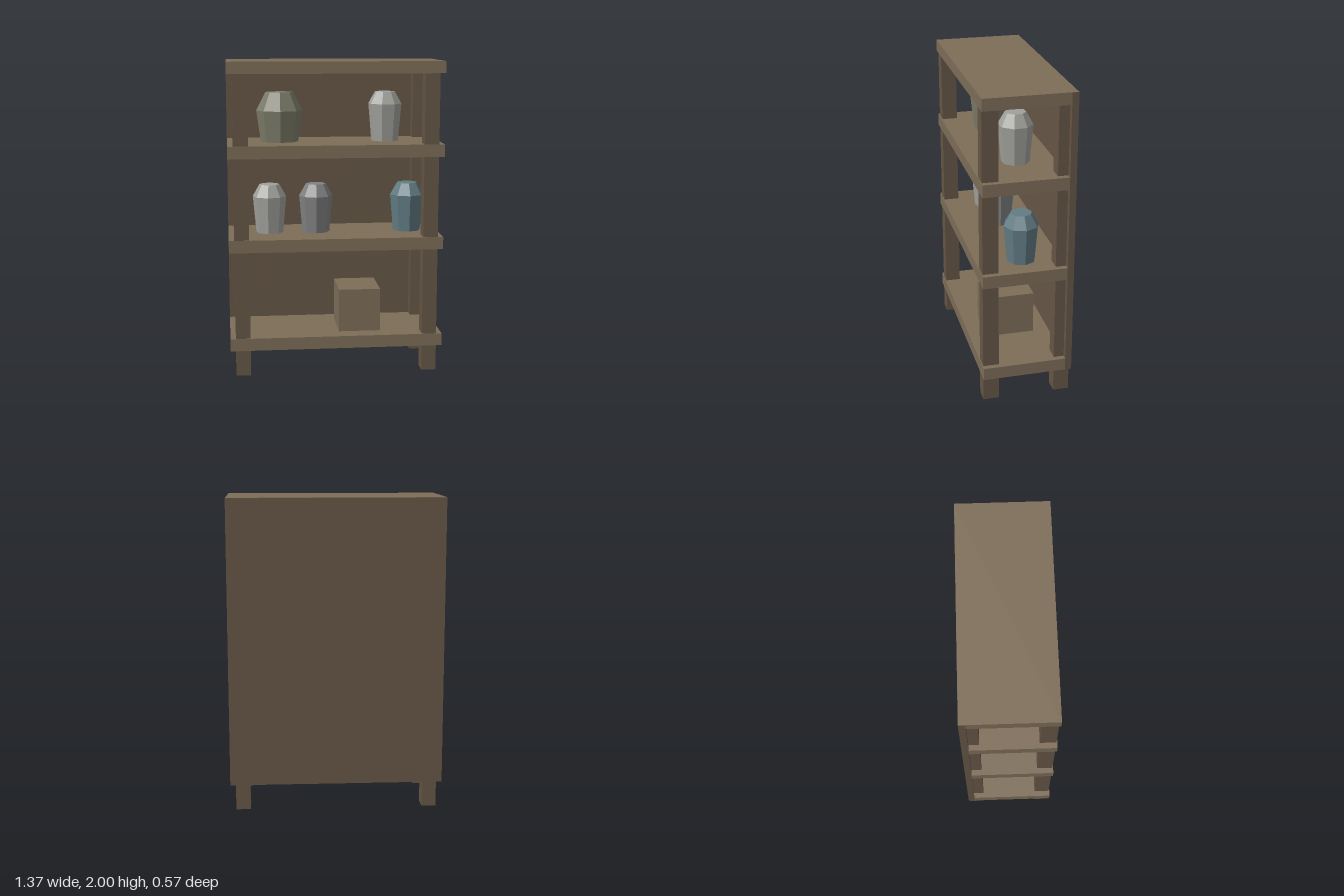
import * as THREE from 'three';

const material = (color) => new THREE.MeshStandardMaterial({ color, flatShading: true });

export function createModel() {
  const group = new THREE.Group();
  const plank = material(0x7d6d58);
  const frame = material(0x665646);

  // Box given by its lower and upper corners
  const box = (name, mat, [x0, y0, z0], [x1, y1, z1]) => {
    const mesh = new THREE.Mesh(new THREE.BoxGeometry(x1 - x0, y1 - y0, z1 - z0), mat);
    mesh.position.set((x0 + x1) / 2, (y0 + y1) / 2, (z0 + z1) / 2);
    mesh.name = name;
    group.add(mesh);
  };

  // Four shelf boards
  for (const [bottom, top] of [[0.165, 0.245], [0.805, 0.885], [1.4, 1.48], [1.925, 2]])
    box('shelf', plank, [-0.684, bottom, -0.285], [0.684, top, 0.285]);

  // Corner posts, running through the boards down to the feet
  for (const sx of [-1, 1])
    for (const sz of [-1, 1])
      box('post', frame,
        [sx * 0.602 - 0.047, 0, sz * 0.23 - 0.05],
        [sx * 0.602 + 0.047, 1.999, sz * 0.23 + 0.05]);

  // Back panel, flush with the boards
  box('backPanel', frame, [-0.685, 0.165, -0.286], [0.685, 1.999, -0.245]);

  // Crate on the lowest shelf
  box('crate', plank, [0.025, 0.245, -0.14], [0.295, 0.525, 0.175]);

  // Eight-sided jars: tapered body, sloping shoulder, flat closed ends
  const jar = (name, color, x, y, radius, shoulder, turn, depth = 1) => {
    const profile = [[0, 0], [0.81, 0], [1, shoulder], [0.6, 0.318], [0, 0.318]]
      .map(([r, h]) => new THREE.Vector2(r * radius, h));
    const mesh = new THREE.Mesh(new THREE.LatheGeometry(profile, 8), material(color));
    mesh.position.set(x, y, 0);
    mesh.rotation.y = THREE.MathUtils.degToRad(turn);
    mesh.scale.z = depth;
    mesh.name = name;
    group.add(mesh);
  };
  jar('wideJar', 0x7c7c6a, -0.345, 1.48, 0.149, 0.2, 0, 0.86);
  jar('paleJar', 0xa0a09b, 0.341, 1.48, 0.109, 0.24, -18);
  jar('paleJar', 0xa0a09b, -0.414, 0.883, 0.109, 0.24, -8);
  jar('greyJar', 0x808182, -0.111, 0.883, 0.109, 0.24, -2);
  jar('blueJar', 0x617b84, 0.492, 0.883, 0.112, 0.24, 3);

  return group;
}
